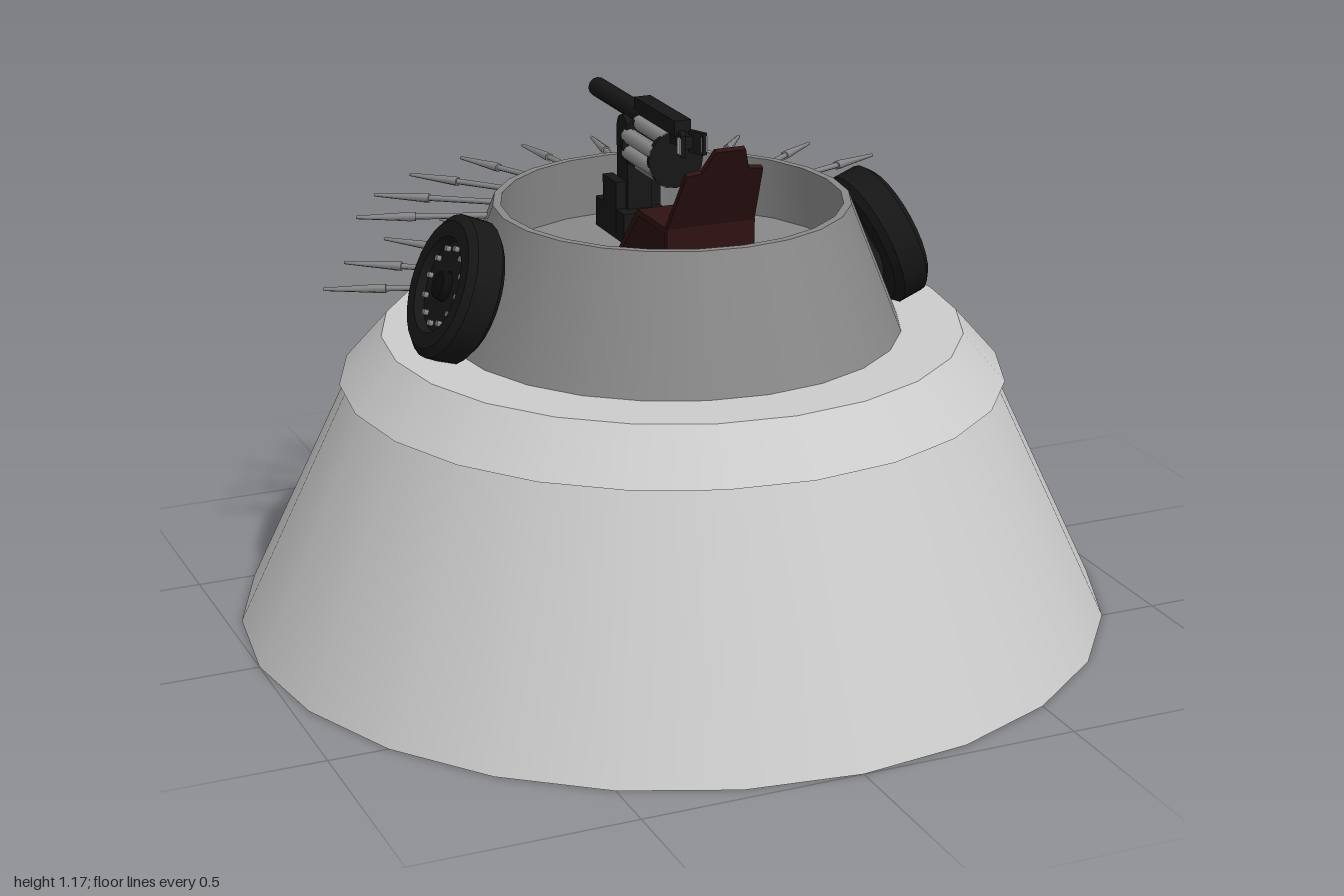
import * as THREE from 'three';

const mat = (color) => new THREE.MeshStandardMaterial({ color, side: THREE.DoubleSide });
const GREY = mat(0xcccccc), STEEL = mat(0x888888), BLACK = mat(0x161616), DARK = mat(0x0c0c0c), BROWN = mat(0x2e1212);

function add(parent, name, geometry, material, x = 0, y = 0, z = 0) {
  const mesh = new THREE.Mesh(geometry, material);
  mesh.name = name;
  mesh.position.set(x, y, z);
  parent.add(mesh);
  return mesh;
}

const box = (w, h, d) => new THREE.BoxGeometry(w, h, d);

// Cylinder lying along z, with r0 at the back end (-z)
const rodZ = (r0, r1, len, sides = 12) =>
  new THREE.CylinderGeometry(r1, r0, len, sides).rotateX(Math.PI / 2);

// Hard-edged solid of revolution: one smooth band per profile step
function bands(parent, name, profile, material, sides) {
  const group = new THREE.Group();
  group.name = name;
  for (let i = 1; i < profile.length; i++) {
    const pts = [profile[i - 1], profile[i]].map(([r, y]) => new THREE.Vector2(r, y));
    add(group, name + 'Band', new THREE.LatheGeometry(pts, sides), material);
  }
  parent.add(group);
  return group;
}

// Tyre with hub and a circle of bolts; its axle is y
function makeWheel() {
  const wheel = new THREE.Group();
  wheel.name = 'wheel';
  bands(wheel, 'tyre', [[0.095, -0.045], [0.145, -0.045], [0.163, -0.03], [0.163, 0.03],
    [0.145, 0.045], [0.11, 0.045], [0.102, 0.025], [0, 0.025]], BLACK, 28);
  add(wheel, 'hub', new THREE.CylinderGeometry(0.03, 0.035, 0.02, 12), DARK, 0, 0.034, 0);
  for (let i = 0; i < 12; i++) {
    const a = i * Math.PI / 6;
    add(wheel, 'bolt', new THREE.CylinderGeometry(0.007, 0.007, 0.012, 6), STEEL,
      0.087 * Math.sin(a), 0.03, 0.087 * Math.cos(a));
  }
  return wheel;
}

// Spear pointing along -z from its root
function makeSpike(length) {
  const spike = new THREE.Group();
  spike.name = 'spike';
  add(spike, 'shaft', rodZ(0.007, 0.007, length * 0.6, 6), STEEL, 0, 0, -length * 0.3);
  add(spike, 'collar', rodZ(0.011, 0.011, 0.02, 6), STEEL, 0, 0, -length * 0.6);
  add(spike, 'blade', rodZ(0.004, 0.011, length * 0.4, 6), STEEL, 0, 0, -length * 0.8);
  return spike;
}

function makeSeat() {
  const seat = new THREE.Group();
  seat.name = 'seat';
  // Backrest with a stepped top, leaning back
  const s = new THREE.Shape();
  [[-0.105, 0], [0.105, 0], [0.09, 0.165], [0.055, 0.17], [0.035, 0.228],
    [-0.035, 0.228], [-0.055, 0.17], [-0.09, 0.165]].forEach(([x, y], i) => i ? s.lineTo(x, y) : s.moveTo(x, y));
  const back = add(seat, 'backrest', new THREE.ExtrudeGeometry(s, { depth: 0.012, bevelEnabled: false }), BROWN, 0, 0.965, 0.2);
  back.rotation.x = 0.49;
  // Pan, front apron and rear panel
  add(seat, 'seatPan', box(0.21, 0.014, 0.16), BROWN, 0, 0.963, 0.13);
  const apron = add(seat, 'seatApron', box(0.21, 0.014, 0.18), BROWN, 0, 0.897, -0.008);
  apron.rotation.x = -0.83;
  add(seat, 'seatRearPanel', box(0.21, 0.14, 0.014), BROWN, 0, 0.9, 0.208);
  return seat;
}

function makeGun() {
  const gun = new THREE.Group();
  gun.name = 'gun';
  // Pedestal
  add(gun, 'post', box(0.06, 0.26, 0.065), BLACK, 0, 0.955, -0.218);
  add(gun, 'postTop', new THREE.CylinderGeometry(0.032, 0.032, 0.06, 16).rotateZ(Math.PI / 2), BLACK, 0, 1.08, -0.218);
  add(gun, 'foot', box(0.11, 0.07, 0.17), BLACK, 0, 0.86, -0.235);
  for (const side of [-1, 1])
    add(gun, 'brace', box(0.025, 0.12, 0.08), BLACK, side * 0.043, 0.9, -0.235);
  // Barrel and receiver
  add(gun, 'barrel', rodZ(0.023, 0.023, 0.3), BLACK, 0, 1.122, -0.29);
  add(gun, 'receiver', box(0.04, 0.035, 0.23), BLACK, 0, 1.147, -0.055);
  add(gun, 'grip', box(0.03, 0.03, 0.07), BLACK, 0, 1.122, 0.06);
  for (const side of [-1, 1]) {
    const handle = add(gun, 'handle', box(0.012, 0.05, 0.045), BLACK, side * 0.018, 1.122, 0.1);
    handle.rotation.y = side * 0.4;
    add(gun, 'handleCap', box(0.014, 0.036, 0.014), GREY, side * 0.026, 1.122, 0.112);
  }
  // Revolving drum: tubes around a core, held by two plates
  const drum = new THREE.Group();
  drum.name = 'drum';
  drum.position.set(0, 1.065, -0.06);
  add(drum, 'core', rodZ(0.03, 0.03, 0.16), BLACK);
  for (let i = 0; i < 8; i++) {
    const a = (i + 0.5) * Math.PI / 4;
    add(drum, 'drumTube', rodZ(0.018, 0.018, 0.165, 10), STEEL, 0.05 * Math.sin(a), 0.05 * Math.cos(a), 0);
  }
  for (const z of [-0.077, 0.077])
    add(drum, 'drumPlate', rodZ(0.066, 0.066, 0.012, 16), BLACK, 0, 0, z);
  gun.add(drum);
  return gun;
}

export function createModel() {
  const model = new THREE.Group();
  model.name = 'gunTower';

  // Sloped base, overhanging collar and hollow turret
  bands(model, 'base', [[0, 0], [1, 0], [0.735, 0.565]], GREY, 24);
  bands(model, 'collar', [[0.735, 0.565], [0.757, 0.565], [0.66, 0.675], [0.5, 0.675]], GREY, 24);
  bands(model, 'turret', [[0.52, 0.675], [0.403, 0.97], [0.385, 0.97], [0.4, 0.825], [0, 0.825]], STEEL, 24);

  // Wheels hung flat against the turret wall
  for (const side of [-1, 1]) {
    const mount = new THREE.Group();
    mount.name = side > 0 ? 'leftWheel' : 'rightWheel';
    const wheel = makeWheel();
    wheel.position.set(0.518, 0.822, 0);
    wheel.rotation.z = -1.19;
    mount.add(wheel);
    mount.rotation.y = side > 0 ? 0 : Math.PI;
    model.add(mount);
  }

  // Two rows of spikes fanned around the back
  for (const [y, root, tip] of [[0.928, 0.4, 0.71], [0.758, 0.46, 0.79]]) {
    for (let i = 0; i < 10; i++) {
      const a = (i - 4.5) * 0.256;
      const spike = makeSpike(tip - root);
      spike.position.set(-root * Math.sin(a), y, -root * Math.cos(a));
      spike.rotation.set(-0.02, a, 0, 'YXZ');
      model.add(spike);
    }
  }

  model.add(makeSeat(), makeGun());
  return model;
}
